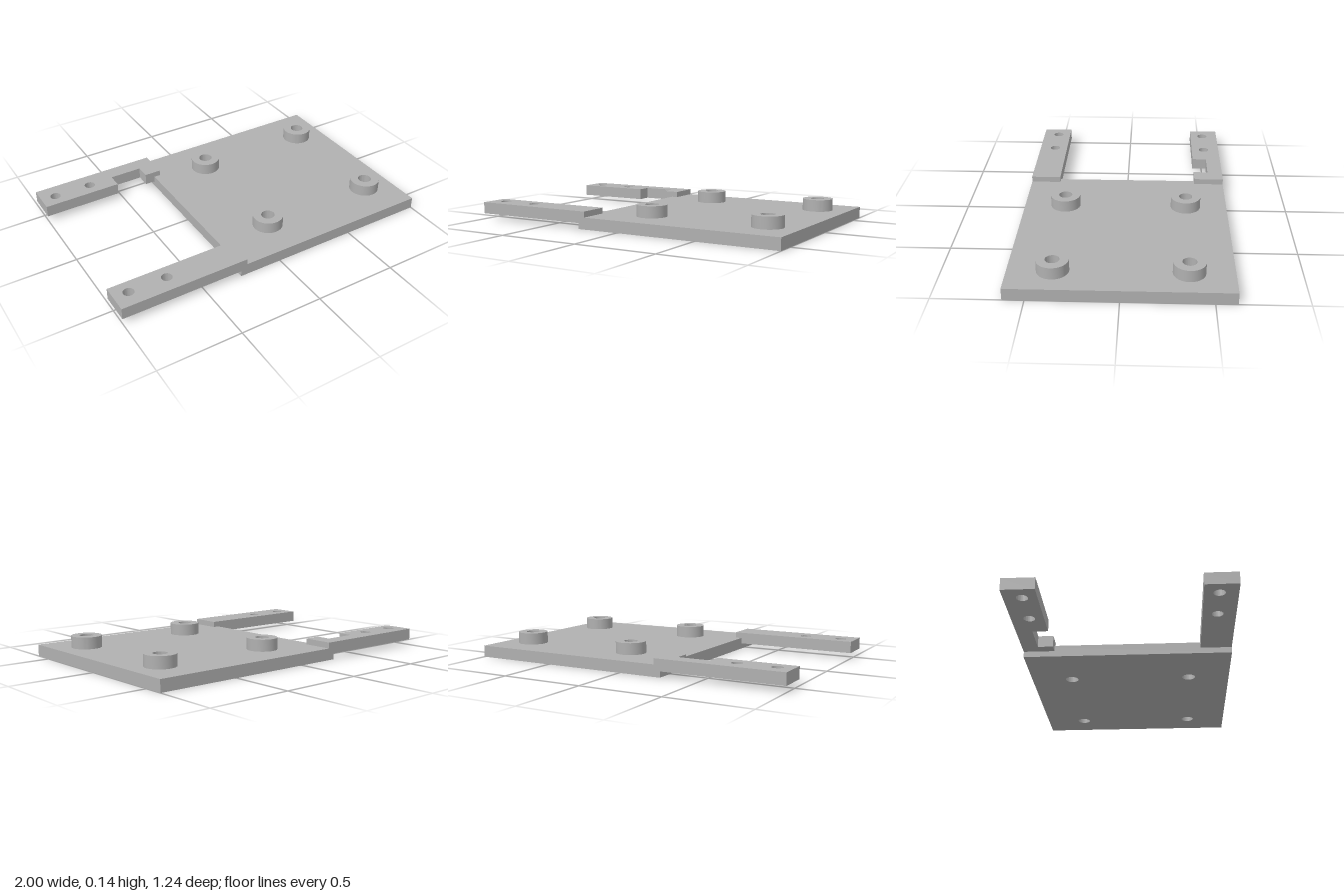
import * as THREE from 'three';
import { toCreasedNormals } from 'three/addons/utils/BufferGeometryUtils.js';

const grey = new THREE.MeshStandardMaterial({ color: 0xb0b0b0 });
grey.name = 'plainGrey';

const PLATE_TOP = 0.07;
const ARM_BOTTOM = 0.035;
const ARM_TOP = 0.105;
const BOSS_TOP = 0.14;
const HALF_DEPTH = 0.619;
const BOSS_X = [0.08, 0.815];
const BOSS_Z = 0.368;

const addHole = (shape, x, z, r) =>
  shape.holes.push(new THREE.Path().absarc(x, z, r, 0, Math.PI * 2, true));

const outline = (points) => new THREE.Shape(points.map(([x, z]) => new THREE.Vector2(x, z)));

// Extrudes a plan outline, drawn in x and z, between two heights
function slab(name, shape, bottom, top) {
  const geo = new THREE.ExtrudeGeometry(shape, {
    depth: top - bottom, bevelEnabled: false, curveSegments: 24,
  });
  geo.rotateX(Math.PI / 2).translate(0, top, 0);
  const mesh = new THREE.Mesh(toCreasedNormals(geo, 0.6), grey);
  mesh.name = name;
  return mesh;
}

export function createModel() {
  const model = new THREE.Group();
  model.name = 'mountingBracket';

  // Base plate with four through holes
  const plate = outline([
    [-0.265, -HALF_DEPTH], [1, -HALF_DEPTH], [1, HALF_DEPTH], [-0.265, HALF_DEPTH],
  ]);
  for (const x of BOSS_X) for (const z of [-BOSS_Z, BOSS_Z]) addHole(plate, x, z, 0.04);
  model.add(slab('basePlate', plate, 0, PLATE_TOP));

  // Hollow standoffs above the plate holes
  for (const x of BOSS_X) {
    for (const z of [-BOSS_Z, BOSS_Z]) {
      const ring = new THREE.Shape().absarc(x, z, 0.09, 0, Math.PI * 2, false);
      addHole(ring, x, z, 0.04);
      model.add(slab('standoff', ring, PLATE_TOP, BOSS_TOP));
    }
  }

  // Raised arms lapping onto the plate edge; the rear one has a notch
  const frontArm = outline([
    [-1, 0.435], [-0.225, 0.435], [-0.225, HALF_DEPTH], [-1, HALF_DEPTH],
  ]);
  const rearArm = outline([
    [-1, -HALF_DEPTH], [-0.225, -HALF_DEPTH], [-0.225, -0.435], [-0.327, -0.435],
    [-0.327, -0.525], [-0.525, -0.525], [-0.525, -0.435], [-1, -0.435],
  ]);
  for (const x of [-0.91, -0.68]) {
    addHole(frontArm, x, 0.517, 0.032);
    addHole(rearArm, x, -0.517, 0.032);
  }
  model.add(slab('frontArm', frontArm, ARM_BOTTOM, ARM_TOP));
  model.add(slab('rearArm', rearArm, ARM_BOTTOM, ARM_TOP));

  return model;
}
